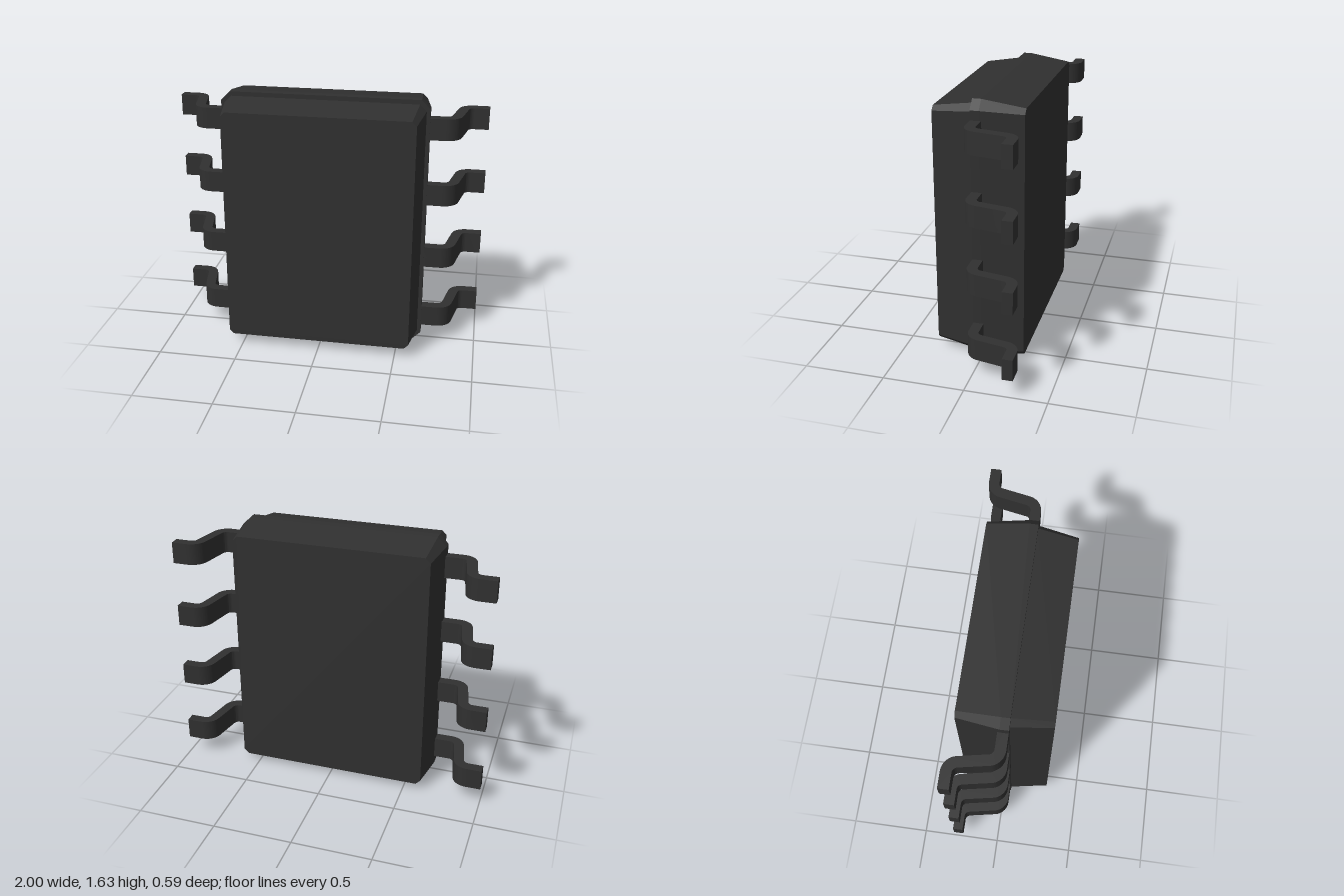
import * as THREE from 'three';
import { toCreasedNormals } from 'three/addons/utils/BufferGeometryUtils.js';

const HEIGHT = 1.635;

// Chamfered rectangle at depth z, counter-clockwise seen from +z
function section(z, hx, hy, c) {
  return [
    [hx, -hy + c], [hx, hy - c], [hx - c, hy], [-hx + c, hy],
    [-hx, hy - c], [-hx, -hy + c], [-hx + c, -hy], [hx - c, -hy],
  ].map(([x, y]) => new THREE.Vector3(x, y + HEIGHT / 2, z));
}

// Flat-faced solid through sections ordered from back to front
function loft(sections) {
  const points = [];
  const n = sections[0].length;
  for (let s = 0; s < sections.length - 1; s++) {
    const a = sections[s], b = sections[s + 1];
    for (let i = 0; i < n; i++) {
      const j = (i + 1) % n;
      points.push(a[i], a[j], b[j], a[i], b[j], b[i]);
    }
  }
  const back = sections[0], front = sections[sections.length - 1];
  for (let i = 1; i < n - 1; i++) {
    points.push(front[0], front[i], front[i + 1], back[0], back[i + 1], back[i]);
  }
  const geometry = new THREE.BufferGeometry().setFromPoints(points);
  geometry.computeVertexNormals();
  return geometry;
}

// Gull-wing strip: shoulder, two bends, flat foot; centred on its width
function leadGeometry() {
  const width = 0.135, inner = 0.033, outer = 0.097;
  const ax = 0.745, ay = 0.052, bx = 0.905, by = 0.197;
  const tilt = THREE.MathUtils.degToRad(10.8), q = Math.PI / 2;
  const shape = new THREE.Shape();
  shape.moveTo(0.58, ay - outer);
  shape.lineTo(ax, ay - outer);
  shape.absarc(ax, ay, outer, -q, -tilt, false);
  shape.absarc(bx, by, inner, Math.PI - tilt, q, true);
  shape.lineTo(1, by + inner);
  shape.lineTo(1, by + outer);
  shape.absarc(bx, by, outer, q, Math.PI - tilt, false);
  shape.absarc(ax, ay, inner, -tilt, -q, true);
  shape.lineTo(0.58, ay - inner);
  const geometry = new THREE.ExtrudeGeometry(shape, {
    depth: width, bevelEnabled: false, curveSegments: 10,
  });
  geometry.translate(0, 0, -width / 2);
  geometry.rotateX(-Math.PI / 2);
  return toCreasedNormals(geometry, Math.PI / 6);
}

export function createModel() {
  const model = new THREE.Group();
  model.name = 'surfaceMountChip';
  const material = new THREE.MeshStandardMaterial({ color: 0x303030 });

  function add(name, geometry, parent = model) {
    const mesh = new THREE.Mesh(geometry, material);
    mesh.name = name;
    parent.add(mesh);
    return mesh;
  }

  // Two tapered halves of the case, stepped at the parting line
  add('caseBack', loft([
    section(-0.26, 0.61, 0.778, 0.03),
    section(-0.005, 0.648, HEIGHT / 2, 0.055),
    section(0.048, 0.648, HEIGHT / 2, 0.055),
  ]));
  add('caseFront', loft([
    section(0.04, 0.626, 0.791, 0.042),
    section(0.292, 0.587, 0.753, 0.027),
  ]));

  // Four leads on each side
  const lead = leadGeometry();
  for (const side of ['left', 'right']) {
    const row = new THREE.Group();
    row.name = side + 'Leads';
    for (let i = 0; i < 4; i++) {
      const mesh = add(side + 'Lead' + (i + 1), lead, row);
      mesh.position.y = HEIGHT / 2 + (i - 1.5) * 0.425;
      if (side === 'right') mesh.rotation.z = Math.PI;
    }
    model.add(row);
  }
  return model;
}
